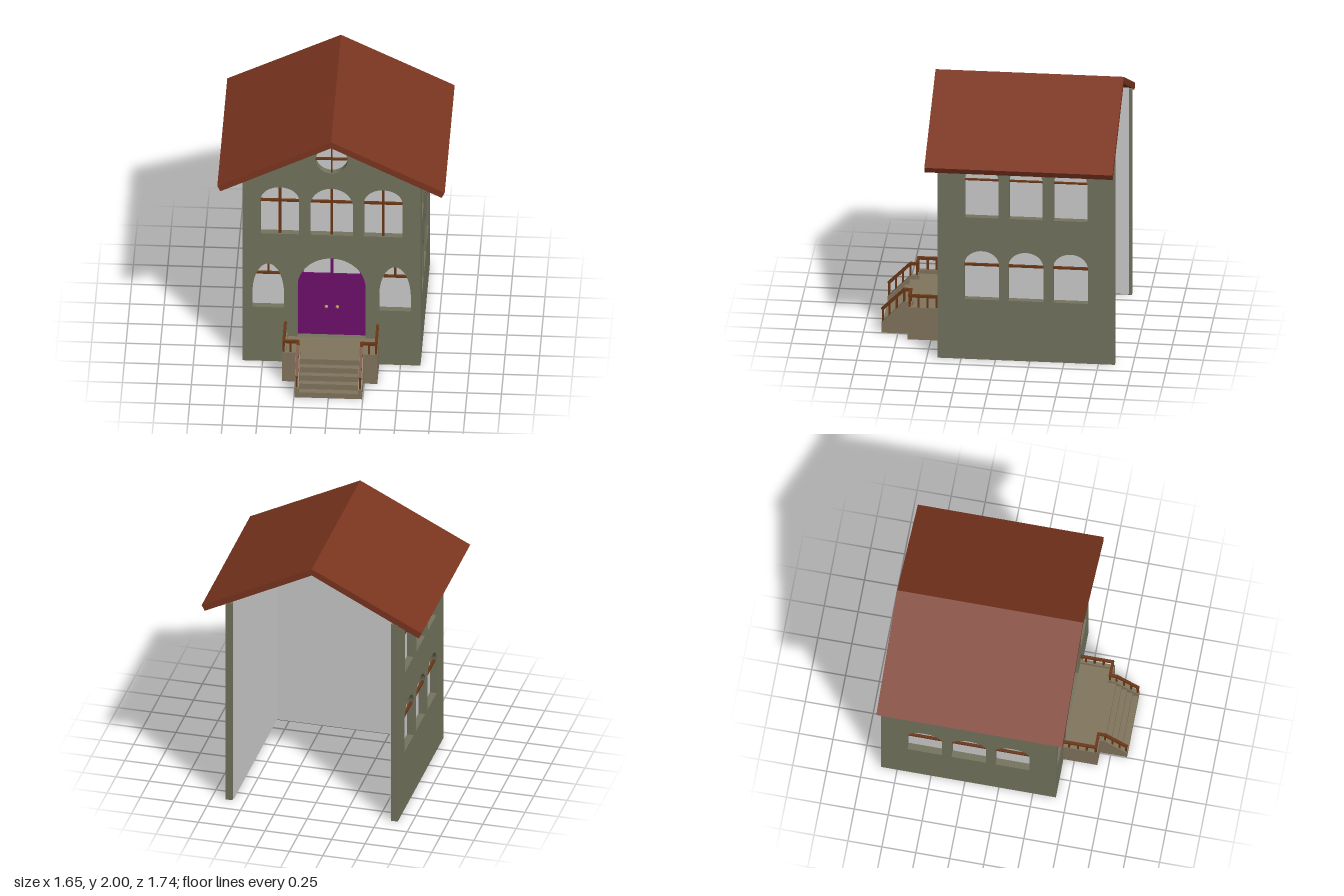
import * as THREE from 'three';

const mat = (color) => new THREE.MeshStandardMaterial({ color, flatShading: true, side: THREE.DoubleSide });

const WX = 0.645, FRONT = 0.42, BACK = -0.87, T = 0.05, EAVE = 1.63;

export function createModel() {
  const house = new THREE.Group();
  house.name = 'house';
  const wallMat = mat(0x73735e), roofMat = mat(0x7a351f), trimMat = mat(0x6a3615);
  const doorMat = mat(0x6e0f6b), stoneMat = mat(0x80745c), brassMat = mat(0xb09a4a), greyMat = mat(0xcccccc);

  const add = (parent, name, geo, material, x = 0, y = 0, z = 0) => {
    const m = new THREE.Mesh(geo, material);
    m.name = name;
    m.position.set(x, y, z);
    parent.add(m);
    return m;
  };
  const box = (parent, name, material, w, h, d, x, y, z) =>
    add(parent, name, new THREE.BoxGeometry(w, h, d), material, x, y, z);
  const extrude = (shape, depth) =>
    new THREE.ExtrudeGeometry(shape, { depth, bevelEnabled: false, curveSegments: 12 });
  const poly = (pts) => new THREE.Shape(pts.map(([x, y]) => new THREE.Vector2(x, y)));

  // Arched opening: straight sides up to the spring line, then half an ellipse
  const arch = (cx, half, y0, spring, top, Type = THREE.Path) => {
    const p = new Type();
    p.moveTo(cx - half, y0);
    p.lineTo(cx + half, y0);
    p.lineTo(cx + half, spring);
    p.absellipse(cx, spring, half, top - spring, 0, Math.PI, false, 0);
    p.lineTo(cx - half, y0);
    return p;
  };
  // Straight bar between two points
  const bar = (parent, name, a, b, thick) => {
    const A = new THREE.Vector3(...a), B = new THREE.Vector3(...b);
    const m = box(parent, name, trimMat, thick, thick, A.distanceTo(B) + thick * 0.6, 0, 0, 0);
    m.position.copy(A).add(B).multiplyScalar(0.5);
    m.lookAt(B);
  };

  // Front wall with its openings and window bars
  const front = new THREE.Group();
  front.name = 'frontWall';
  front.position.z = FRONT;
  house.add(front);
  const gable = (w, y0) => poly([[-w, y0], [w, y0], [w, 1.96 - 0.503 * w], [0, 1.96], [-w, 1.96 - 0.503 * w]]);
  const frontShape = gable(WX, 0);
  frontShape.holes.push(arch(0, 0.247, 0.225, 0.67, 0.92));
  for (const s of [-1, 1]) {
    frontShape.holes.push(arch(s * 0.46, 0.115, 0.475, 0.6, 0.86));
    box(front, 'windowBar', trimMat, 0.17, 0.015, 0.02, s * 0.46, 0.765, -0.025);
    box(front, 'windowBar', trimMat, 0.015, 0.09, 0.02, s * 0.46, 0.813, -0.025);
  }
  for (const [cx, half, spring] of [[-0.375, 0.14, 1.42], [0, 0.155, 1.38], [0.375, 0.14, 1.42]]) {
    frontShape.holes.push(arch(cx, half, 1.125, spring, 1.535));
    box(front, 'windowBar', trimMat, half * 2, 0.015, 0.02, cx, 1.41, -0.02);
    box(front, 'windowBar', trimMat, 0.018, 0.41, 0.02, cx, 1.33, -0.02);
  }
  const round = new THREE.Path();
  round.absarc(0, 1.787, 0.117, 0, Math.PI * 2, false);
  frontShape.holes.push(round);
  box(front, 'windowBar', trimMat, 0.234, 0.013, 0.02, 0, 1.787, -0.02);
  box(front, 'windowBar', trimMat, 0.013, 0.234, 0.02, 0, 1.787, -0.02);
  add(front, 'frontWallPanel', extrude(frontShape, T), wallMat, 0, 0, -T);
  add(front, 'frontLining', extrude(gable(WX - T - 0.01, 0.01), 0.01), greyMat, 0, 0, -T - 0.01);

  // Double door with a fanlight
  const doorShape = arch(0, 0.247, 0.225, 0.67, 0.92, THREE.Shape);
  const fan = new THREE.Path();
  fan.moveTo(-0.207, 0.76);
  fan.lineTo(0.207, 0.76);
  fan.absellipse(0, 0.76, 0.207, 0.142, 0, Math.PI, false, 0);
  doorShape.holes.push(fan);
  add(front, 'door', extrude(doorShape, 0.012), doorMat, 0, 0, -0.05);
  box(front, 'fanlightBar', doorMat, 0.02, 0.15, 0.012, 0, 0.83, -0.043);
  for (const s of [-1, 1])
    add(front, 'doorKnob', new THREE.SphereGeometry(0.013, 12, 8), brassMat, s * 0.04, 0.475, -0.03);

  // Side walls, open at the back of the house
  for (const s of [-1, 1]) {
    const side = new THREE.Group();
    side.name = s > 0 ? 'leftWall' : 'rightWall';
    side.rotation.y = s * Math.PI / 2;
    side.position.x = s * WX;
    house.add(side);
    const u = (z) => -s * z;
    const wallShape = (z0, z1, y0, y1) => {
      const [a, b] = [u(z0), u(z1)].sort((p, q) => p - q);
      return poly([[a, y0], [b, y0], [b, y1], [a, y1]]);
    };
    const shape = wallShape(FRONT - T, BACK, 0, EAVE);
    for (const z of [0.1, -0.222, -0.547]) {
      shape.holes.push(arch(u(z), 0.122, 1.125, 1.42, 1.535), arch(u(z), 0.127, 0.475, 0.75, 0.86));
      box(side, 'windowBar', trimMat, 0.244, 0.01, 0.02, u(z), 1.42, -0.02);
      box(side, 'windowBar', trimMat, 0.254, 0.016, 0.02, u(z), 0.745, -0.02);
    }
    add(side, 'sideWallPanel', extrude(shape, T), wallMat, 0, 0, -T);
    add(side, 'sideLining', extrude(wallShape(FRONT - T, BACK + 0.02, 0.01, EAVE + 0.02), 0.01), greyMat, 0, 0, -T - 0.01);
  }

  // Pitched roof
  const roof = poly([[0, 2], [-0.825, 1.585], [-0.803, 1.54], [0, 1.948], [0.803, 1.54], [0.825, 1.585]]);
  add(house, 'roof', extrude(roof, 0.5 - BACK), roofMat, 0, 0, BACK);

  // Hollow staircase: a thin zigzag of risers and treads leading to the landing
  const steps = [0.87, 0.825, 0.785, 0.745, 0.705], rise = 0.045, thin = 0.006;
  const upper = [], lower = [];
  steps.forEach((z, i) => {
    const next = i < 4 ? steps[i + 1] : FRONT;
    upper.push([-z, i * rise], [-z, (i + 1) * rise]);
    lower.push([-z + thin, Math.max(0, i * rise - thin)], [-z + thin, (i + 1) * rise - thin]);
    if (i === 4) {
      upper.push([-next, 5 * rise]);
      lower.push([-next, 5 * rise - thin]);
    }
  });
  const stairs = new THREE.Group();
  stairs.name = 'stairs';
  house.add(stairs);
  const flight = add(stairs, 'steps', extrude(poly([...upper, ...lower.reverse()]), 0.44), stoneMat, -0.22);
  flight.rotation.y = Math.PI / 2;

  // Landing walls, sloped cheeks and railings, mirrored
  const cheek = poly([[-0.87, 0], [-0.64, 0], [-0.64, 0.255], [-0.7, 0.255], [-0.87, 0.08]]);
  for (const s of [-1, 1]) {
    box(stairs, 'landingSide', stoneMat, 0.025, 0.255, 0.25, s * 0.3325, 0.1275, 0.545);
    box(stairs, 'landingFront', stoneMat, 0.12, 0.255, 0.025, s * 0.285, 0.1275, 0.6575);
    box(stairs, 'landingFloor', stoneMat, 0.12, thin, 0.24, s * 0.27, 0.222, 0.54);
    const c = add(stairs, 'stairCheek', extrude(cheek, 0.03), stoneMat, s * 0.23 - 0.015);
    c.rotation.y = Math.PI / 2;

    const path = [[0.335, 0.343, 0.42], [0.335, 0.343, 0.657], [0.23, 0.343, 0.657], [0.23, 0.343, 0.705], [0.23, 0.185, 0.862]];
    for (let i = 0; i < path.length - 1; i++) {
      const [a, b] = [path[i], path[i + 1]].map(([x, y, z]) => [s * x, y, z]);
      bar(stairs, 'handrail', a, b, 0.02);
    }
    const posts = [[0.335, 0.46], [0.335, 0.525], [0.335, 0.59], [0.335, 0.657], [0.285, 0.657], [0.23, 0.657],
      [0.23, 0.705], [0.23, 0.76], [0.23, 0.812], [0.23, 0.86]];
    for (const [x, z] of posts) {
      const drop = Math.max(0, z - 0.7);
      const y0 = 0.25 - drop * 1.03, y1 = 0.343 - drop;
      box(stairs, 'baluster', trimMat, 0.014, y1 - y0, 0.014, s * x, (y0 + y1) / 2, z);
    }
  }
  return house;
}
